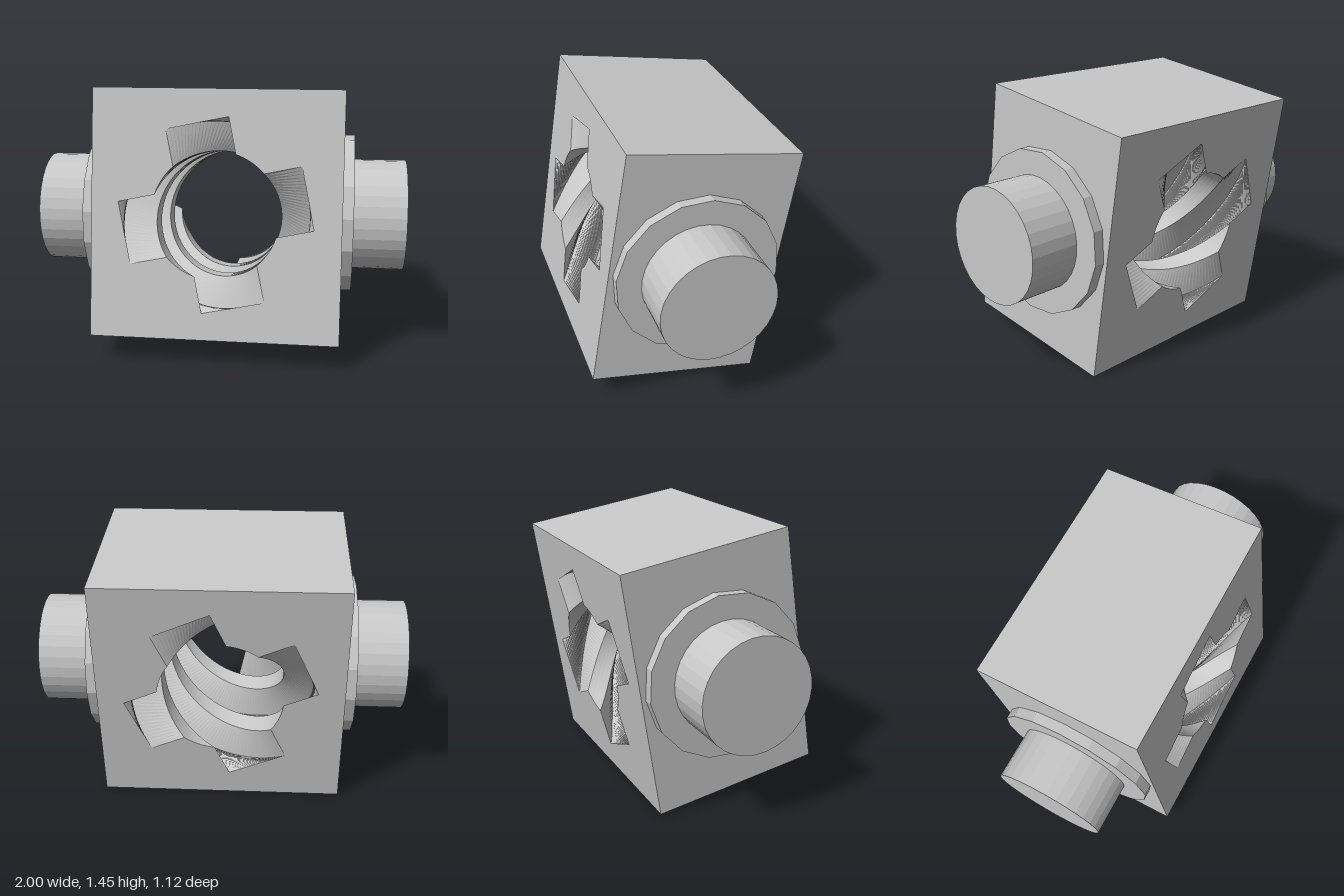
import * as THREE from 'three';
import { mergeGeometries } from 'three/addons/utils/BufferGeometryUtils.js';

const SIZE = 1.32, DEPTH = 0.925;             // square block
const ROOT = 0.338, TIP = 0.492, HALF = 0.168; // bore radius, slot depth and half width
const FRONT_ANGLE = 12, TWIST = 216;          // degrees, clockwise going inward
const rad = THREE.MathUtils.degToRad;

// Counter-clockwise outline of the four-slotted bore, turned by an angle
function boreOutline(degrees) {
  const pts = [];
  const edge = Math.asin(HALF / ROOT);
  const root = Math.sqrt(ROOT * ROOT - HALF * HALF);
  for (let k = 0; k < 4; k++) {
    const turn = rad(degrees) + k * Math.PI / 2;
    const add = (x, y) => pts.push(new THREE.Vector2(x, y).rotateAround(new THREE.Vector2(), turn));
    add(root, -HALF);
    add(TIP, -HALF);
    add(TIP, HALF);
    add(root, HALF);
    for (let i = 1; i < 5; i++) {
      const a = edge + (Math.PI / 2 - 2 * edge) * i / 5;
      add(ROOT * Math.cos(a), ROOT * Math.sin(a));
    }
  }
  return pts;
}

// Square face pierced by the bore outline
function piercedFace(outline) {
  const h = SIZE / 2;
  const shape = new THREE.Shape([[-h, -h], [h, -h], [h, h], [-h, h]].map(p => new THREE.Vector2(...p)));
  shape.holes.push(new THREE.Path(outline));
  return new THREE.ShapeGeometry(shape).translate(0, 0, DEPTH / 2);
}

function blockGeometry() {
  const mirrored = boreOutline(FRONT_ANGLE - TWIST).map(p => new THREE.Vector2(-p.x, p.y));
  const parts = [piercedFace(boreOutline(FRONT_ANGLE)), piercedFace(mirrored).rotateY(Math.PI)];
  for (let k = 0; k < 4; k++) {
    parts.push(new THREE.PlaneGeometry(SIZE, DEPTH).rotateX(-Math.PI / 2)
      .translate(0, SIZE / 2, 0).rotateZ(k * Math.PI / 2));
  }
  return mergeGeometries(parts);
}

// Bore wall: the outline twisted through the depth of the block
function boreGeometry(steps = 96) {
  const rings = [];
  for (let i = 0; i <= steps; i++) {
    const t = i / steps;
    rings.push(boreOutline(FRONT_ANGLE - TWIST * t).map(p => [p.x, p.y, DEPTH * (0.5 - t)]));
  }
  const pos = [];
  for (let i = 0; i < steps; i++) {
    const near = rings[i], far = rings[i + 1];
    for (let j = 0; j < near.length; j++) {
      const n = (j + 1) % near.length;
      pos.push(...near[j], ...near[n], ...far[n], ...near[j], ...far[n], ...far[j]);
    }
  }
  const geo = new THREE.BufferGeometry();
  geo.setAttribute('position', new THREE.Float32BufferAttribute(pos, 3));
  geo.computeVertexNormals();
  return geo;
}

export function createModel() {
  const grey = new THREE.MeshStandardMaterial({ color: 0xc8c8c8 });
  grey.name = 'grey';
  const group = new THREE.Group();
  group.name = 'twistedBoreBlock';
  const add = (name, geo) => {
    const mesh = new THREE.Mesh(geo, grey);
    mesh.name = name;
    group.add(mesh);
  };

  add('block', blockGeometry());
  add('twistedBore', boreGeometry());

  // Faceted collar and round trunnion on each side
  const disc = (radius, from, to, sides, side) =>
    new THREE.CylinderGeometry(radius, radius, to - from, sides)
      .toNonIndexed().rotateZ(-Math.PI / 2).translate(side * (from + to) / 2, 0, 0);
  for (const [label, side] of [['left', 1], ['right', -1]]) {
    const collar = disc(0.44, 0.65, 0.717, 16, side);
    collar.computeVertexNormals(); // flat facets
    add(label + 'Collar', collar);
    const shaft = disc(0.305, 0.7, 1, 32, side);
    shaft.computeVertexNormals();
    add(label + 'Trunnion', shaft);
  }

  // The whole block leans back about the trunnion axis
  group.rotation.x = rad(-9);
  group.position.y = 0.7243;
  const model = new THREE.Group();
  model.name = 'model';
  model.add(group);
  return model;
}
